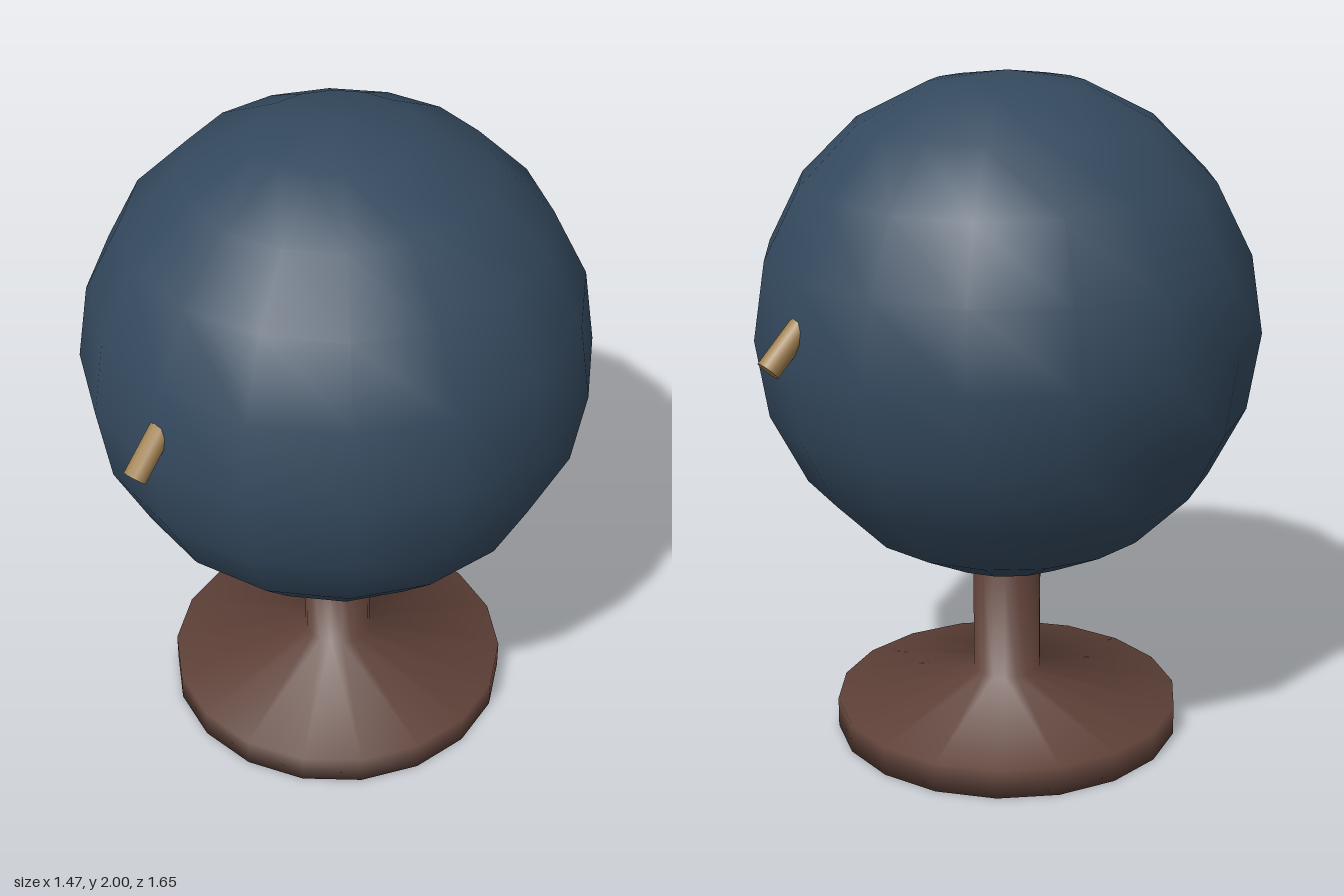
import * as THREE from 'three';

export function createModel() {
  const group = new THREE.Group();
  const blue = new THREE.MeshStandardMaterial({ name: 'slate blue', color: 0x34495e });
  const brown = new THREE.MeshStandardMaterial({ name: 'dark brown', color: 0x5d4037 });
  const gold = new THREE.MeshStandardMaterial({ name: 'dull gold', color: 0xa08050 });

  const add = (name, geometry, material) => {
    const mesh = new THREE.Mesh(geometry, material);
    mesh.name = name;
    group.add(mesh);
    return mesh;
  };

  // Large globe resting on the stand
  const R = 0.737, centreY = 1.263;
  add('globe', new THREE.SphereGeometry(R, 16, 10), blue).position.y = centreY;

  // Flared foot and stem, turned as one smooth piece
  const profile = [[0, 0], [0.52, 0], [0.52, 0.09], [0.102, 0.178], [0.102, 0.525], [0, 0.525]]
    .map(([r, y]) => new THREE.Vector2(r, y));
  add('stand', new THREE.LatheGeometry(profile, 18), brown).rotation.y = Math.PI / 2;

  // Slanted pegs front and back, running inward and upward into the globe
  const length = 0.22;
  for (const side of [1, -1]) {
    const peg = add(side > 0 ? 'frontPeg' : 'backPeg',
      new THREE.CylinderGeometry(0.034, 0.034, length, 10), gold);
    const half = (length / 2) * Math.SQRT1_2;
    peg.position.set(0, centreY + half, side * (0.8 - half));
    peg.rotation.x = -side * Math.PI / 4;
  }

  return group;
}
